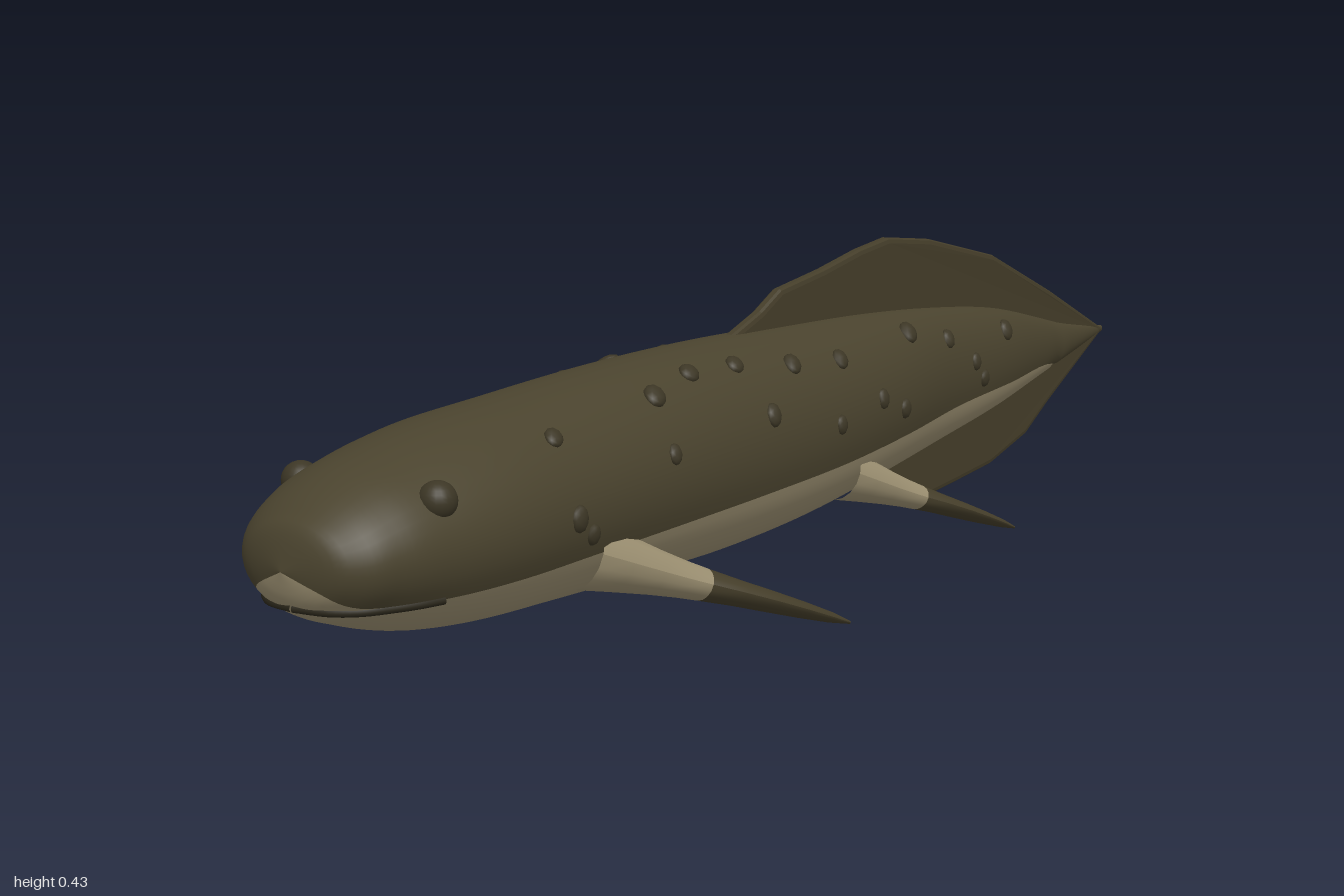
import * as THREE from 'three';

const mat = (name, color, side = THREE.FrontSide) => {
  const m = new THREE.MeshStandardMaterial({ color, side });
  m.name = name;
  return m;
};

// Body stations, tail to nose: z, top y, bottom y, half width, height of the belly line
const STATIONS = [
  [-1, 0.205, 0.195, 0.003, 0.19], [-0.82, 0.235, 0.162, 0.021, 0.163], [-0.78, 0.245, 0.155, 0.025, 0.172],
  [-0.6, 0.285, 0.125, 0.05, 0.17], [-0.4, 0.31, 0.1, 0.068, 0.165], [-0.2, 0.325, 0.08, 0.098, 0.157],
  [0, 0.333, 0.062, 0.117, 0.15], [0.2, 0.338, 0.055, 0.128, 0.148], [0.4, 0.336, 0.06, 0.136, 0.147],
  [0.6, 0.327, 0.068, 0.141, 0.146], [0.75, 0.317, 0.077, 0.143, 0.145], [0.85, 0.3, 0.092, 0.132, 0.145],
  [0.92, 0.28, 0.113, 0.115, 0.147], [0.97, 0.25, 0.136, 0.085, 0.155], [0.99, 0.228, 0.158, 0.05, 0.172],
  [1, 0.19, 0.19, 0, 0.19],
];
const spline = new THREE.CubicInterpolant(
  STATIONS.map((s) => s[0]), STATIONS.flatMap((s) => s.slice(1)), 4);

function section(z) {
  const [top, bottom, w, line] = spline.evaluate(z);
  const cy = (top + bottom) / 2, ry = Math.max((top - bottom) / 2, 1e-5);
  const seam = Math.asin(THREE.MathUtils.clamp((line - cy) / ry, -1, 1));
  return { cy, ry, w: Math.max(w, 0), seam };
}

// Point on the flank at a given z and height
function flank(side, z, y) {
  const { cy, ry, w } = section(z);
  const s = THREE.MathUtils.clamp((y - cy) / ry, -1, 1);
  return new THREE.Vector3(side * w * Math.sqrt(1 - s * s), cy + ry * s, z);
}

// Surface through a grid of points given by point(i, j)
function loft(rows, cols, point) {
  const pos = [], index = [];
  for (let i = 0; i <= rows; i++) {
    for (let j = 0; j <= cols; j++) {
      pos.push(...point(i, j));
      if (i < rows && j < cols) {
        const a = i * (cols + 1) + j, b = a + cols + 1;
        index.push(a, a + 1, b, a + 1, b + 1, b);
      }
    }
  }
  const g = new THREE.BufferGeometry();
  g.setAttribute('position', new THREE.Float32BufferAttribute(pos, 3));
  g.setIndex(index);
  g.computeVertexNormals();
  return g;
}

// Strip of the body between the two belly lines, above or below
function bodyShell(upper) {
  const rows = 90, cols = 28;
  return loft(rows, cols, (i, j) => {
    const z = -1 + 2 * Math.sin((i / rows) * Math.PI / 2);
    const { cy, ry, w, seam } = section(z);
    const from = upper ? seam : Math.PI - seam;
    const to = upper ? Math.PI - seam : 2 * Math.PI + seam;
    const a = from + (to - from) * j / cols;
    return [w * Math.cos(a), cy + ry * Math.sin(a), z];
  });
}

// Thin median fin running over the back, round the tail and under it
function medianFin() {
  const shape = new THREE.Shape([
    [0.16, 0.32], [0.13, 0.336], [0.06, 0.36], [0.01, 0.385], [-0.1, 0.4], [-0.2, 0.418], [-0.28, 0.427],
    [-0.4, 0.413], [-0.6, 0.368], [-0.8, 0.288], [-1, 0.2], [-0.8, 0.105], [-0.72, 0.063],
    [-0.6, 0.034], [-0.48, 0.024], [-0.37, 0.016], [-0.33, 0.035], [-0.24, 0.082], [-0.2, 0.13],
  ].map((p) => new THREE.Vector2(...p)));
  const g = new THREE.ExtrudeGeometry(shape, {
    depth: 0.008, bevelThickness: 0.005, bevelSize: 0.008, bevelOffset: -0.008, bevelSegments: 2,
  });
  g.translate(0, 0, -0.004).rotateY(-Math.PI / 2);
  // Thin out towards the tail tip
  const p = g.attributes.position;
  for (let i = 0; i < p.count; i++) p.setX(i, p.getX(i) * Math.min(1, 0.5 + (1 + p.getZ(i)) * 1.5));
  g.computeVertexNormals();
  return g;
}

// Part of a paddle limb: stations are [t along the limb, half width, half thickness]
function limbPart(root, tip, wide, stations) {
  const dir = tip.clone().sub(root).normalize();
  const w = wide.clone().addScaledVector(dir, -wide.dot(dir)).normalize();
  const n = dir.clone().cross(w);
  return loft(stations.length - 1, 16, (i, j) => {
    const [t, a, b] = stations[i], ang = (j / 16) * Math.PI * 2;
    return root.clone().lerp(tip, t)
      .addScaledVector(w, a * Math.cos(ang)).addScaledVector(n, b * Math.sin(ang)).toArray();
  });
}
const UPPER_LIMB = [[0, 0.055, 0.045], [0.12, 0.046, 0.037], [0.25, 0.036, 0.029], [0.35, 0.031, 0.024], [0.43, 0.031, 0.021]];
const PADDLE = [[0.43, 0.031, 0.021], [0.55, 0.037, 0.017], [0.68, 0.036, 0.014], [0.8, 0.028, 0.011],
  [0.92, 0.015, 0.007], [1, 0.002, 0.002]];

// Warts on each flank: z, y, radius
const WARTS = [
  [0.64, 0.29, 0.016], [0.65, 0.2, 0.017], [0.62, 0.175, 0.014], [0.42, 0.305, 0.02], [0.32, 0.318, 0.018],
  [0.44, 0.24, 0.014], [0.22, 0.315, 0.017], [0.2, 0.25, 0.017], [0.1, 0.3, 0.018], [0.03, 0.21, 0.014],
  [-0.02, 0.29, 0.017], [-0.1, 0.225, 0.015], [-0.17, 0.2, 0.015], [-0.25, 0.295, 0.02], [-0.37, 0.27, 0.016],
  [-0.45, 0.225, 0.014], [-0.48, 0.195, 0.014], [-0.58, 0.255, 0.018],
];

export function createModel() {
  const group = new THREE.Group();
  const skin = mat('olive skin', 0x4a432e);
  const pale = mat('pale belly', 0x9a8e70);
  const finSkin = mat('dark olive fin', 0x443d29);
  const wart = mat('dark wart', 0x3c3625);
  const dark = mat('dark mouth', 0x2a261a);
  const add = (name, geometry, material) => {
    const m = new THREE.Mesh(geometry, material);
    m.name = name;
    group.add(m);
    return m;
  };

  add('back', bodyShell(true), skin);
  add('belly', bodyShell(false), pale);
  add('medianFin', medianFin(), finSkin);

  for (const side of [1, -1]) {
    const label = side > 0 ? 'left' : 'right';
    // Limbs, swept back, each blade twisted its own way
    const wide = side > 0 ? new THREE.Vector3(0.89, 0.18, 0.41) : new THREE.Vector3(-0.64, -0.5, 0.57);
    const limbs = [
      ['Front', [0.085, 0.135, 0.57], [0.267, 0.004, 0.25], 1],
      ['Hind', [0.06, 0.12, -0.06], [0.187, 0.003, -0.345], 0.85],
    ];
    for (const [name, r, t, size] of limbs) {
      const root = new THREE.Vector3(side * r[0], r[1], r[2]);
      const tip = new THREE.Vector3(side * t[0], t[1], t[2]);
      const sized = (list) => list.map(([u, a, b]) => [u, a * size, b * size]);
      add(label + name + 'Limb', limbPart(root, tip, wide, sized(UPPER_LIMB)), pale);
      add(label + name + 'Paddle', limbPart(root, tip, wide, sized(PADDLE)), finSkin);
    }

    // Warts lying flat on the skin
    WARTS.forEach(([z, y, r], i) => {
      const zz = side > 0 ? z : z - 0.03 + 0.02 * (i % 3);
      const p = flank(side, zz, y), { cy, ry, w } = section(zz);
      const normal = new THREE.Vector3(p.x / (w * w), (p.y - cy) / (ry * ry), 0).normalize();
      const m = add(label + 'Wart', new THREE.IcosahedronGeometry(r, 1), wart);
      m.scale.set(0.8, 1, 0.5);
      m.position.copy(p);
      m.quaternion.setFromUnitVectors(new THREE.Vector3(0, 0, 1), normal);
    });

    // Eye
    const eye = add(label + 'Eye', new THREE.SphereGeometry(0.023, 20, 14), wart);
    eye.position.copy(flank(side, 0.855, 0.255));
    eye.position.x -= side * 0.006;

    // Mouth corner
    const points = [0.982, 0.97, 0.95, 0.92, 0.89, 0.86].map((z) => flank(side, z, 0.144));
    add(label + 'Mouth', new THREE.TubeGeometry(new THREE.CatmullRomCurve3(points), 24, 0.005, 8), dark);
  }
  return group;
}
